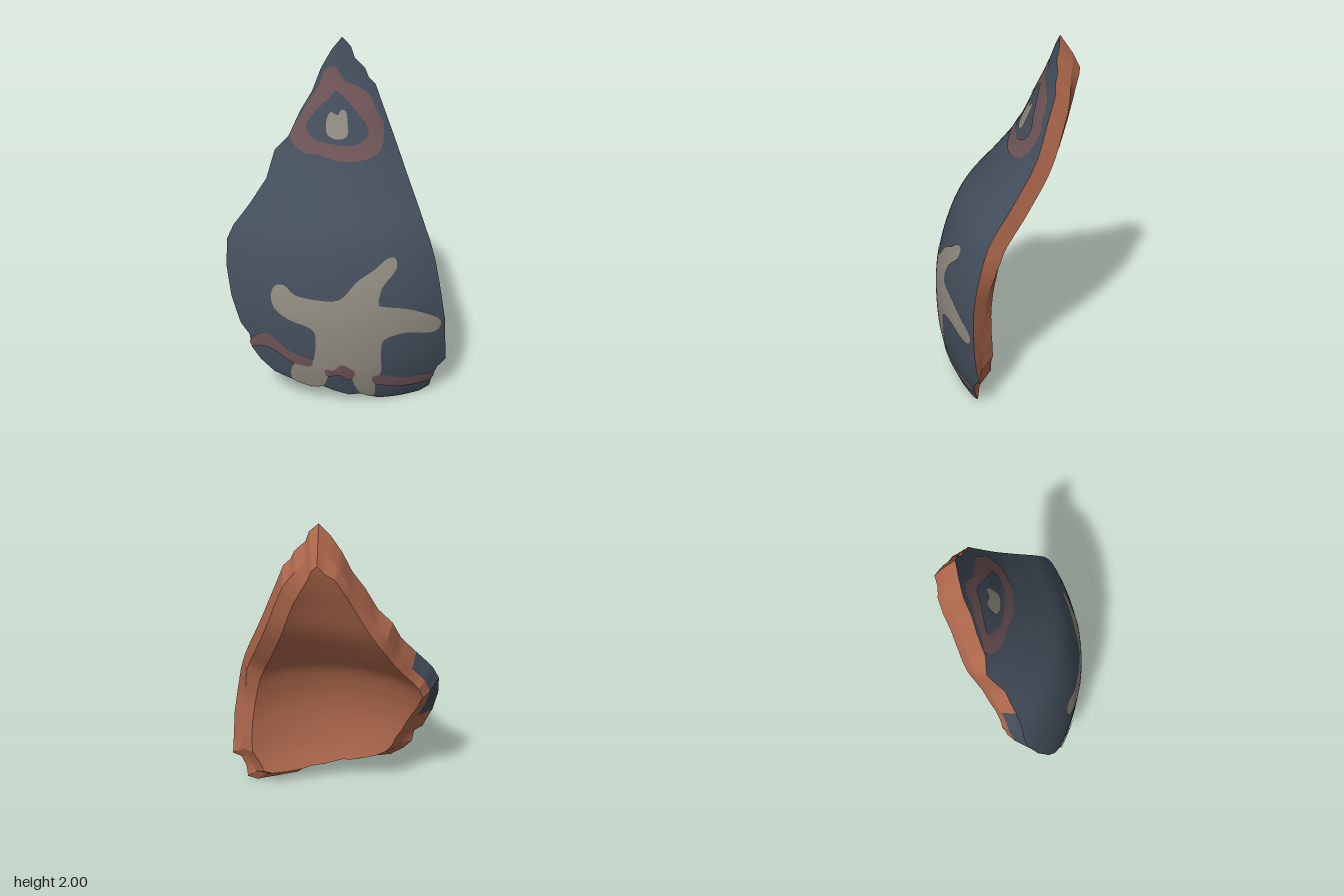
import * as THREE from 'three';
import { toCreasedNormals } from 'three/addons/utils/BufferGeometryUtils.js';

const AXIS_X = 0.06, AXIS_Z = -0.72;
const { smoothstep } = THREE.MathUtils;

// Vessel radius at even steps of 0.2 in height, starting at y = -0.2
const profile = new THREE.SplineCurve(
  [0.93, 1.06, 1.115, 1.13, 1.12, 1.075, 0.99, 0.83, 0.68, 0.58, 0.49, 0.43, 0.38]
    .map((r, i) => new THREE.Vector2(i * 0.2 - 0.2, r)));
const radius = (y) => profile.getPoint((y + 0.2) / 2.4).y;

// Depths of the glazed face, the ridge in the broken edge and the back
const FRONT = () => 0;
const RIDGE = (y) => -0.055 - 0.045 * smoothstep(y, 0.1, 0.7);
const BACK = () => -0.16;

const pairs = (a) => {
  const out = [];
  for (let i = 0; i < a.length; i += 2) out.push(new THREE.Vector2(a[i], a[i + 1]));
  return out;
};

// Broken edge of the shard, clockwise from the tip
const outline = pairs([
  0.04, 2, 0.09, 1.95, 0.11, 1.89, 0.17, 1.83, 0.19, 1.78, 0.23, 1.74, 0.27, 1.63, 0.33, 1.47,
  0.41, 1.25, 0.47, 1.09, 0.52, 0.95, 0.55, 0.84, 0.58, 0.68, 0.61, 0.5, 0.62, 0.35, 0.63, 0.21,
  0.58, 0.17, 0.55, 0.1, 0.54, 0.03, 0.48, 0, 0.35, 0, 0.23, 0.01, 0.13, 0.06, 0.06, 0.055,
  -0.03, 0.09, -0.1, 0.125, -0.16, 0.11, -0.26, 0.15, -0.37, 0.19, -0.45, 0.26, -0.5, 0.33,
  -0.51, 0.41, -0.56, 0.47, -0.61, 0.62, -0.635, 0.78, -0.63, 0.92, -0.59, 1, -0.49, 1.12,
  -0.4, 1.24, -0.35, 1.38, -0.27, 1.46, -0.2, 1.6, -0.13, 1.71, -0.08, 1.83, -0.02, 1.93]);

// Smoothed copy of the edge, drawn in toward the middle; the upper sides flare outward
function ring(inset, flareLeft, flareRight) {
  return outline.map((p, i) => {
    const n = outline.length, a = outline[(i + n - 1) % n], b = outline[(i + 1) % n];
    const x = p.x * 0.6 + (a.x + b.x) * 0.2, y = p.y * 0.6 + (a.y + b.y) * 0.2;
    const upper = smoothstep(y, 0.6, 1) * (1 - smoothstep(y, 1.75, 1.95));
    const k = 1 - inset * (x < 0 ? 1 - upper : 1);
    const flare = x < 0 ? -flareRight : flareLeft;
    return new THREE.Vector2(x * k + flare * upper, 0.7 + (y - 0.7) * k);
  });
}
const ridge = ring(0.045, 0.05, 0.025);
const inner = ring(0.09, 0, 0.025);

// Point and normal on the vessel wall, moved along the normal by offset
function onWall(x, y, offset) {
  const r = radius(y), dx = x - AXIS_X, dz = Math.sqrt(r * r - dx * dx);
  const slope = (radius(y + 0.01) - radius(y - 0.01)) / 0.02;
  const normal = new THREE.Vector3(dx / r, -slope, dz / r).normalize();
  return { normal, point: new THREE.Vector3(x, y, AXIS_Z + dz).addScaledVector(normal, offset) };
}

// Curved sheet: a flat shape is split into small triangles and wrapped on the wall
function sheet(points, depth, { hole, back = false } = {}) {
  const shape = new THREE.Shape(points);
  if (hole) shape.holes.push(new THREE.Path(hole));
  const flat = new THREE.ShapeGeometry(shape).toNonIndexed().attributes.position;
  const position = [], normals = [];
  const emit = (a, b, c) => {
    const tri = [a, b, c];
    const lengths = tri.map((p, i) => p.distanceTo(tri[(i + 1) % 3]));
    const k = lengths.indexOf(Math.max(...lengths));
    if (lengths[k] > 0.06) {
      const p = tri[k], q = tri[(k + 1) % 3], s = tri[(k + 2) % 3];
      const m = p.clone().add(q).multiplyScalar(0.5);
      emit(p, m, s);
      emit(m, q, s);
      return;
    }
    for (const v of back ? [a, c, b] : tri) {
      const { point, normal } = onWall(v.x, v.y, depth(v.y));
      position.push(...point.toArray());
      normals.push(...normal.multiplyScalar(back ? -1 : 1).toArray());
    }
  };
  const at = (i) => new THREE.Vector2(flat.getX(i), flat.getY(i));
  for (let i = 0; i < flat.count; i += 3) emit(at(i), at(i + 1), at(i + 2));
  const g = new THREE.BufferGeometry();
  g.setAttribute('position', new THREE.Float32BufferAttribute(position, 3));
  g.setAttribute('normal', new THREE.Float32BufferAttribute(normals, 3));
  return g;
}

// Strip of broken edge joining two loops, for the chosen segments
function strip(loopA, depthA, loopB, depthB, choose) {
  const position = [], steps = 4, n = outline.length;
  for (let i = 0; i < n; i++) {
    const j = (i + 1) % n;
    if (!choose(outline[i].clone().add(outline[j]).multiplyScalar(0.5))) continue;
    for (let s = 0; s < steps; s++) {
      const corner = (loop, t, depth) => {
        const p = loop[i].clone().lerp(loop[j], t / steps);
        return onWall(p.x, p.y, depth(p.y)).point.toArray();
      };
      const a = corner(loopA, s, depthA), b = corner(loopA, s + 1, depthA);
      const c = corner(loopB, s, depthB), d = corner(loopB, s + 1, depthB);
      position.push(...a, ...b, ...c, ...b, ...d, ...c);
    }
  }
  const g = new THREE.BufferGeometry();
  g.setAttribute('position', new THREE.Float32BufferAttribute(position, 3));
  return toCreasedNormals(g, 0.45);
}

// Rounded closed outline for a painted mark
function rounded(a) {
  const pts = pairs(a).map((p) => new THREE.Vector3(p.x, p.y, 0));
  return new THREE.CatmullRomCurve3(pts, true).getPoints(pts.length * 3).slice(0, -1)
    .map((p) => new THREE.Vector2(p.x, p.y));
}

export function createModel() {
  const paint = (name, color) => {
    const m = new THREE.MeshStandardMaterial({ color });
    m.name = name;
    return m;
  };
  const slate = paint('slateGlaze', 0x434e5b);
  const cream = paint('creamPaint', 0x8f8a7f);
  const red = paint('dullRedPaint', 0x6d5356);
  const clay = paint('terracotta', 0xb0694d);

  const group = new THREE.Group();
  group.name = 'potteryShard';
  const add = (name, geometry, material) => {
    const mesh = new THREE.Mesh(geometry, material);
    mesh.name = name;
    group.add(mesh);
  };

  // Body
  const glazed = (p) => p.x < -0.5 && p.y > 0.62 && p.y < 1.1;
  add('glazedFront', sheet(outline, FRONT), slate);
  add('clayBack', sheet(inner, BACK, { back: true }), clay);
  add('brokenEdge', strip(outline, FRONT, ridge, RIDGE, (p) => !glazed(p)), clay);
  add('glazedEdge', strip(outline, FRONT, ridge, RIDGE, glazed), slate);
  add('bevelledEdge', strip(ridge, RIDGE, inner, BACK, () => true), clay);

  // Star-shaped mark
  const PAINT = () => 0.004, OVERPAINT = () => 0.007;
  add('starMark', sheet(rounded([
    -0.38, 0.68, -0.355, 0.74, -0.305, 0.75, -0.25, 0.705, -0.125, 0.685, 0, 0.69, 0.1, 0.79,
    0.2, 0.85, 0.27, 0.9, 0.315, 0.895, 0.32, 0.84, 0.24, 0.75, 0.22, 0.65, 0.25, 0.64, 0.38, 0.61,
    0.51, 0.55, 0.585, 0.49, 0.57, 0.44, 0.51, 0.435, 0.38, 0.465, 0.25, 0.435, 0.235, 0.335,
    0.24, 0.23, 0.21, 0.15, 0.2, 0.035, 0.13, 0.065, 0.09, 0.13, 0.06, 0.2, -0.05, 0.22,
    -0.09, 0.13, -0.16, 0.12, -0.27, 0.165, -0.25, 0.28, -0.16, 0.29, -0.135, 0.39, -0.14, 0.49,
    -0.17, 0.52, -0.28, 0.555, -0.36, 0.61]), PAINT), cream);

  // Ring with a pale centre near the tip
  add('ringMark', sheet(rounded([
    -0.26, 1.46, -0.2, 1.395, -0.1, 1.385, 0, 1.36, 0.15, 1.36, 0.25, 1.4, 0.27, 1.54, 0.23, 1.61,
    0.2, 1.68, 0.12, 1.74, 0.05, 1.77, 0, 1.84, -0.05, 1.83, -0.09, 1.74, -0.15, 1.66,
    -0.2, 1.57]), PAINT, { hole: rounded([
    -0.17, 1.52, -0.12, 1.46, -0.02, 1.44, 0.1, 1.435, 0.17, 1.47, 0.18, 1.52, 0.12, 1.6,
    0.07, 1.66, 0, 1.715, -0.03, 1.68, -0.1, 1.62]) }), red);
  add('ringCentre', sheet(rounded([
    -0.05, 1.49, 0, 1.465, 0.06, 1.48, 0.065, 1.55, 0.055, 1.61, 0.03, 1.615, 0.01, 1.59,
    -0.03, 1.605, -0.055, 1.55]), PAINT), cream);

  // Broken band round the bottom
  const bands = {
    bandRight: [-0.505, 0.365, -0.47, 0.42, -0.4, 0.45, -0.35, 0.41, -0.26, 0.345, -0.15, 0.305,
      -0.16, 0.27, -0.26, 0.28, -0.36, 0.345, -0.44, 0.36, -0.49, 0.34],
    bandMiddle: [-0.08, 0.25, -0.03, 0.25, 0.01, 0.285, 0.045, 0.27, 0.09, 0.23, 0.06, 0.175,
      0, 0.21, -0.07, 0.205],
    bandLeft: [0.19, 0.195, 0.27, 0.195, 0.38, 0.155, 0.555, 0.14, 0.545, 0.095, 0.51, 0.085,
      0.38, 0.09, 0.27, 0.115, 0.2, 0.14],
  };
  for (const [name, a] of Object.entries(bands)) add(name, sheet(rounded(a), OVERPAINT), red);

  return group;
}
